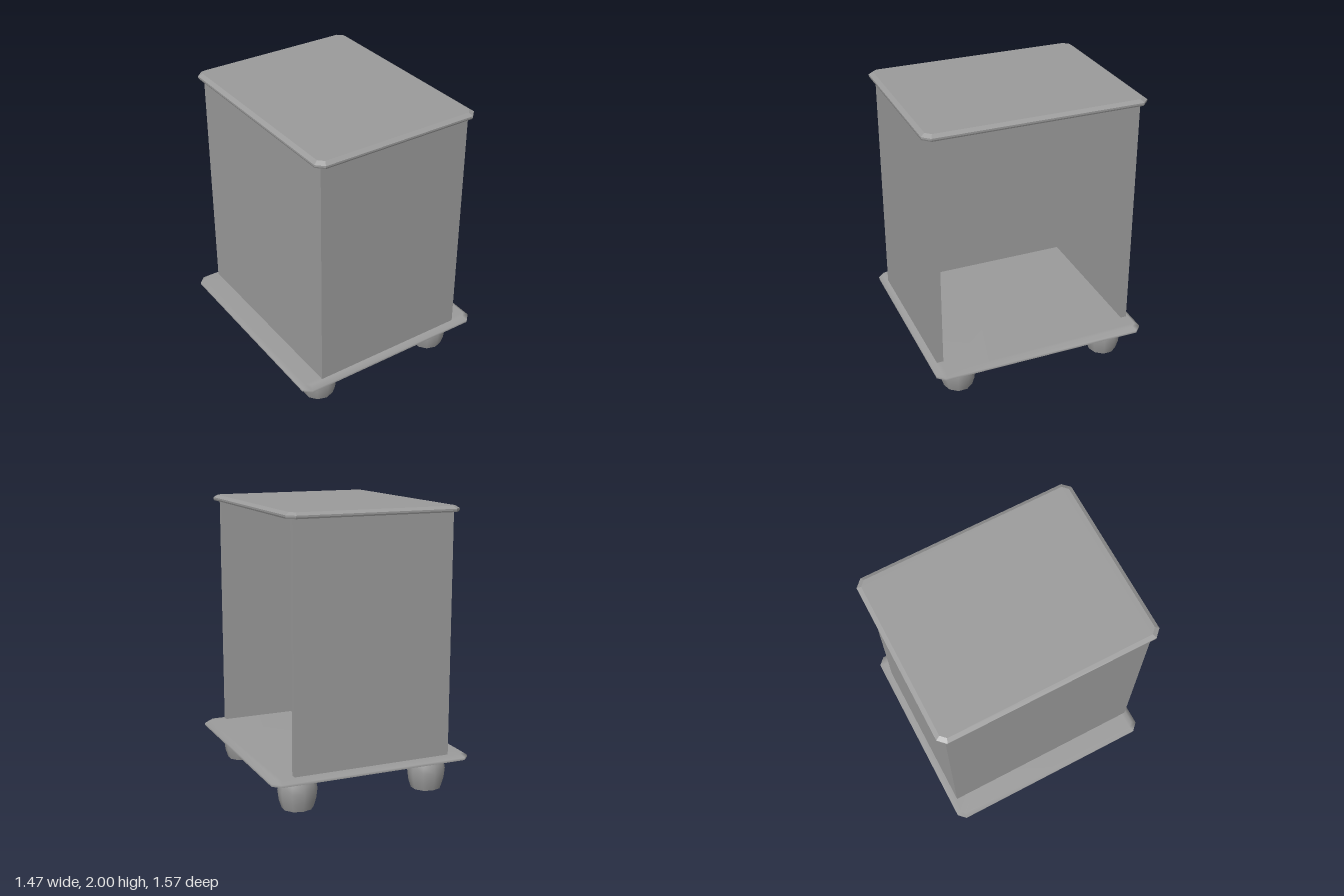
import * as THREE from 'three';
import { mergeGeometries, mergeVertices } from 'three/addons/utils/BufferGeometryUtils.js';

const material = new THREE.MeshStandardMaterial({ color: 0x9b9b9b });
const openMaterial = new THREE.MeshStandardMaterial({ color: 0x9b9b9b, side: THREE.DoubleSide });

function fromTriangles(pos) {
  const g = new THREE.BufferGeometry();
  g.setAttribute('position', new THREE.Float32BufferAttribute(pos, 3));
  return g;
}

// Board with clipped corners, stacked from rings of [inset, y], bottom to top.
// A smooth board blends its rim into its upper face; the underside stays flat.
function boardGeometry(halfX, halfZ, cut, rings, smooth) {
  const loops = rings.map(([inset, y]) => {
    const x = halfX - inset, z = halfZ - inset, c = cut * (1 - inset / 0.1);
    return [
      [x, z - c], [x - c, z], [-x + c, z], [-x, z - c],
      [-x, -z + c], [-x + c, -z], [x - c, -z], [x, -z + c],
    ].map(([px, pz]) => [px, y, pz]);
  });
  const bottom = loops[0], top = loops[loops.length - 1];
  const shellPos = [], bottomPos = [];
  for (let r = 0; r < loops.length - 1; r++) {
    for (let i = 0; i < 8; i++) {
      const j = (i + 1) % 8;
      const a = loops[r][i], b = loops[r][j], c = loops[r + 1][j], d = loops[r + 1][i];
      shellPos.push(...a, ...d, ...c, ...a, ...c, ...b);
    }
  }
  for (let i = 1; i < 7; i++) {
    shellPos.push(...top[0], ...top[i + 1], ...top[i]);
    bottomPos.push(...bottom[0], ...bottom[i], ...bottom[i + 1]);
  }
  let shell = fromTriangles(shellPos);
  const underside = fromTriangles(bottomPos);
  if (smooth) shell = mergeVertices(shell);
  shell.computeVertexNormals();
  underside.computeVertexNormals();
  return mergeGeometries([smooth ? shell.toNonIndexed() : shell, underside]);
}

export function createModel() {
  const group = new THREE.Group();
  const add = (name, geometry, x, y, z, mat = material) => {
    const mesh = new THREE.Mesh(geometry, mat);
    mesh.name = name;
    mesh.position.set(x, y, z);
    group.add(mesh);
    return mesh;
  };

  // Base and top boards with bevelled rims
  add('baseBoard', boardGeometry(0.733, 0.782, 0.05,
    [[0, 0.23], [0, 0.247], [0.033, 0.27]], true), 0, 0, -0.004);
  add('topBoard', boardGeometry(0.62, 0.785, 0.05,
    [[0.004, 1.96], [0, 1.97], [0, 1.982], [0.028, 2]], false), 0, 0, -0.002);

  // Three walls; the +x side is open
  const wallHeight = 1.7, wallY = 0.265 + wallHeight / 2, half = 0.736;
  const frontThick = 0.047, backThick = 0.043, sideThick = 0.045;
  add('frontPanel', new THREE.BoxGeometry(1.148, wallHeight, frontThick),
    -0.003, wallY, half - frontThick / 2);
  add('backPanel', new THREE.BoxGeometry(1.148, wallHeight, backThick),
    -0.003, wallY, -half + backThick / 2);
  add('sidePanel', new THREE.BoxGeometry(sideThick, wallHeight, 2 * half - frontThick - backThick),
    -0.577 + sideThick / 2, wallY, (backThick - frontThick) / 2);

  // Barrel-shaped hollow feet
  const profile = [[0.104, 0], [0.122, 0.06], [0.13, 0.13], [0.122, 0.18], [0.104, 0.235]]
    .map(([r, y]) => new THREE.Vector2(r, y));
  const foot = new THREE.LatheGeometry(profile, 10);
  for (const x of [-0.492, 0.492]) {
    for (const z of [0.56, -0.585]) {
      const name = (z > 0 ? 'front' : 'back') + (x > 0 ? 'Left' : 'Right') + 'Foot';
      add(name, foot, x, 0, z, openMaterial).scale.x = 1.05;
    }
  }
  return group;
}
